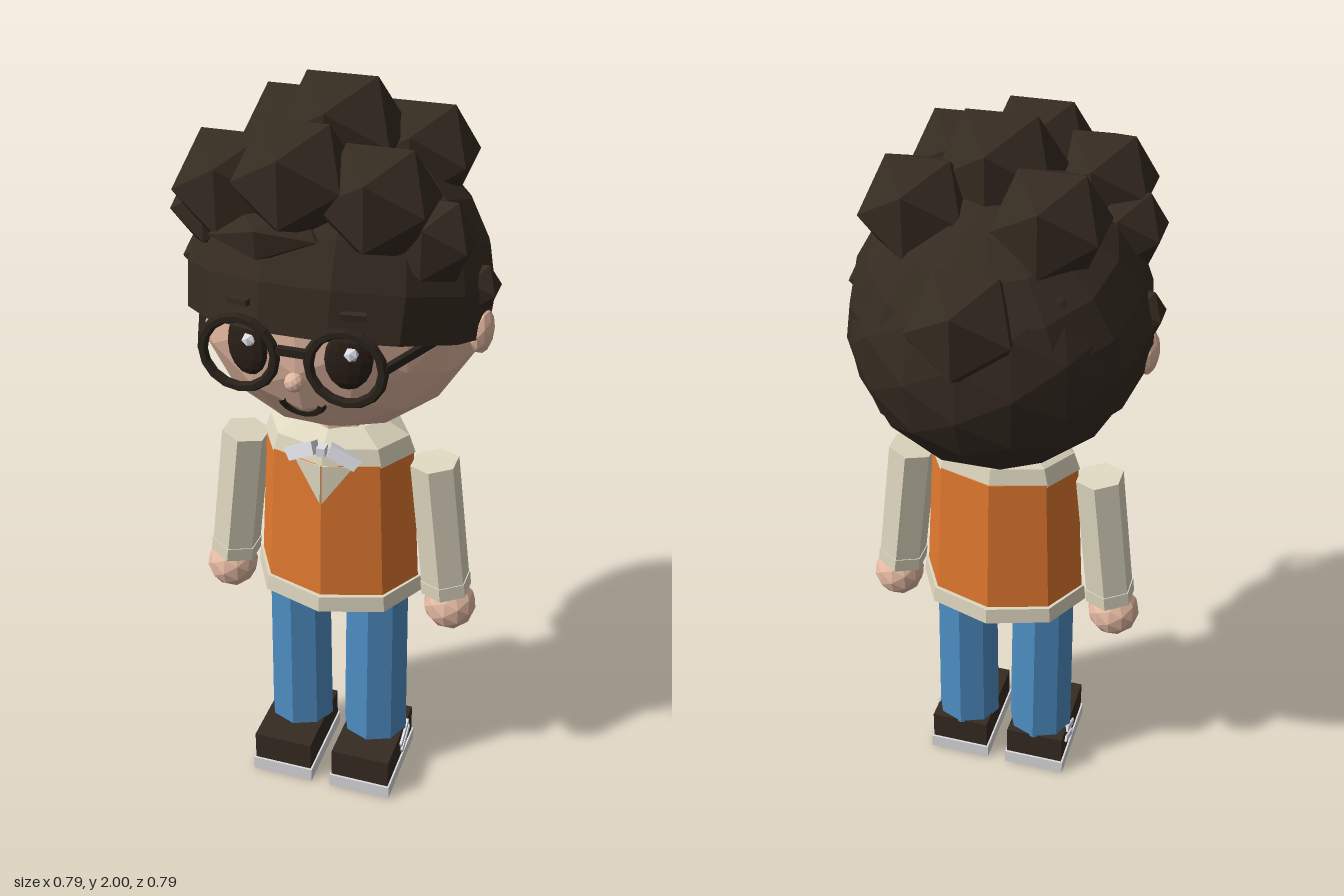
import * as THREE from 'three';

const mat = (name, color, opts = {}) => {
  const m = new THREE.MeshStandardMaterial({ color, flatShading: true, ...opts });
  m.name = name;
  return m;
};

export function createModel() {
  const model = new THREE.Group();
  model.name = 'boy';
  const skin = mat('skin', 0xe4b9a2);
  const hair = mat('hair brown', 0x352b21, { side: THREE.DoubleSide });
  const frame = mat('glasses brown', 0x2a221b);
  const eyeDark = mat('eye dark', 0x2a1f18);
  const white = mat('soft white', 0xdfe1e8);
  const orange = mat('vest orange', 0xe37a30);
  const cream = mat('shirt cream', 0xdfd8c0);
  const blue = mat('trouser blue', 0x4f90c6);
  const sole = mat('sole grey', 0xdedee0);

  const add = (name, geo, material, pos = [0, 0, 0], rot = [0, 0, 0], scale = [1, 1, 1]) => {
    const m = new THREE.Mesh(geo, material);
    m.name = name;
    m.position.set(...pos);
    m.rotation.set(...rot);
    m.scale.set(...scale);
    model.add(m);
    return m;
  };
  const box = (w, h, d) => new THREE.BoxGeometry(w, h, d);
  const ico = (r, detail = 0) => new THREE.IcosahedronGeometry(r, detail);

  // Low-poly tapered tube standing between two heights
  const tube = (y0, y1, r0, r1, sides = 8) =>
    new THREE.CylinderGeometry(r1, r0, y1 - y0, sides).translate(0, (y0 + y1) / 2, 0);
  const polygon = (points, s) => new THREE.Shape(points.map(([x, y]) => new THREE.Vector2(s * x, y)));
  const plate = (shape, depth) => new THREE.ExtrudeGeometry(shape, { depth, bevelEnabled: false });

  // Square bar between two points
  const beam = (name, a, b, w, h, material) => {
    const va = new THREE.Vector3(...a), vb = new THREE.Vector3(...b);
    const m = add(name, box(w, h, va.distanceTo(vb)), material);
    m.position.copy(va).add(vb).multiplyScalar(0.5);
    m.lookAt(vb);
  };

  // Head and neck
  const headY = 1.476;
  add('head', ico(1, 2), skin, [0, headY, 0], [0, 0, 0], [0.367, 0.354, 0.367]);
  add('neck', tube(1.09, 1.18, 0.1, 0.09), skin, [0, 0, 0.03]);
  add('nose', ico(0.024, 1), skin, [0, 1.39, 0.365]);

  // Hair: tilted cap over the top, faceted ball emerging behind the face
  add('hairCap', new THREE.SphereGeometry(0.381, 14, 6, 0, Math.PI * 2, 0, 1.79), hair,
    [0, 1.482, 0.01], [-0.31, 0, 0]);
  add('hairBack', ico(1, 2), hair, [0, headY, -0.022], [0, 0, 0], [0.364, 0.352, 0.362]);

  // Curls: x, y, z, radius
  [
    [0, 1.863, 0.007, 0.162],
    [-0.15, 1.8, -0.113, 0.147],
    [0.165, 1.795, -0.1, 0.145],
    [-0.197, 1.78, 0.19, 0.147],
    [-0.035, 1.83, 0.23, 0.149],
    [0.152, 1.79, 0.212, 0.145],
    [0.26, 1.69, 0.16, 0.112],
    [-0.27, 1.7, 0.13, 0.112],
    [0, 1.61, -0.275, 0.147],
    [0.334, 1.53, 0.035, 0.07],
    [-0.334, 1.53, 0.035, 0.07],
  ].forEach(([x, y, z, r], i) => add('curl' + (i + 1), ico(r), hair, [x, y, z]));
  add('fringeCurl', ico(0.15), hair, [-0.09, 1.71, 0.243], [0, 0, 0.05], [1, 0.42, 0.9]);

  // Smile
  add('mouth', new THREE.TorusGeometry(0.05, 0.011, 5, 10, Math.PI), frame,
    [0, 1.318, 0.319], [0.5, 0, Math.PI]);

  // Glasses bridge
  add('bridge', box(0.07, 0.018, 0.018), frame, [0, 1.475, 0.38]);

  for (const s of [-1, 1]) {
    const side = s > 0 ? 'left' : 'right';

    // Face
    add(side + 'Ear', ico(1, 1), skin, [s * 0.36, 1.425, 0.04], [0, 0, 0], [0.03, 0.06, 0.052]);
    add(side + 'Eye', new THREE.SphereGeometry(1, 12, 8), eyeDark,
      [s * 0.122, 1.455, 0.338], [0, s * 0.25, 0], [0.056, 0.077, 0.022]);
    add(side + 'EyeGlint', ico(0.018), white, [s * 0.122 + 0.012, 1.478, 0.357]);
    add(side + 'Brow', box(0.06, 0.014, 0.02), hair, [s * 0.135, 1.57, 0.35], [0, s * 0.35, s * -0.1]);

    // Glasses
    add(side + 'Rim', new THREE.TorusGeometry(0.088, 0.013, 6, 16), frame, [s * 0.128, 1.454, 0.38]);
    beam(side + 'Temple', [s * 0.218, 1.465, 0.383], [s * 0.29, 1.465, 0.2], 0.014, 0.02, frame);

    // Arm with cuff and hand
    const arm = new THREE.Group();
    arm.name = side + 'Arm';
    arm.position.set(s * 0.258, 1.03, 0.04);
    arm.rotation.z = s * 0.115;
    const sleeve = new THREE.Mesh(tube(-0.35, 0.005, 0.066, 0.065, 6), cream);
    sleeve.name = side + 'Sleeve';
    const cuff = new THREE.Mesh(tube(-0.39, -0.35, 0.069, 0.069, 6), cream);
    cuff.name = side + 'Cuff';
    arm.add(sleeve, cuff);
    model.add(arm);
    add(side + 'Hand', ico(0.071, 1), skin, [s * 0.314, 0.597, 0.04]);

    // Leg
    add(side + 'Leg', tube(0.12, 0.64, 0.092, 0.087), blue, [s * 0.111, 0, 0.045], [0, 0, 0], [1, 1, 0.97]);

    // Shoe with sole and two side strips
    add(side + 'Shoe', box(0.166, 0.087, 0.25), hair, [s * 0.115, 0.082, 0.085]);
    add(side + 'Sole', box(0.176, 0.04, 0.262), sole, [s * 0.115, 0.02, 0.085]);
    for (const j of [0, 1])
      add(side + 'ShoeStrip' + (j + 1), box(0.009, 0.018, 0.082), white,
        [s * 0.2, 0.075 + j * 0.03, 0.04 + j * 0.012], [0.45, 0, 0]);

    // Bow wing
    add(side + 'BowWing', plate(polygon([[0.01, -0.008], [0.08, -0.04], [0.1, -0.012], [0.02, 0.024]], s), 0.03),
      white, [0, 1.092, 0.165], [-0.25, s * 0.25, 0]);

    // Half of the pointed shirt front, folded along the vest's middle edge
    add(side + 'ShirtFront', plate(polygon([[0, 0], [0, -0.11], [0.08, 0]], s), 0.008), cream,
      [0, 1.055, 0.178], [-0.045, s * 0.3, 0]);
  }
  add('bowKnot', box(0.022, 0.024, 0.03), white, [0, 1.098, 0.175]);

  // Shirt, vest and hem: oval eight-sided tubes
  const torso = (name, y0, y1, r0, r1, depth, material) =>
    add(name, tube(y0, y1, r0, r1), material, [0, 0, 0.036], [0, 0, 0], [1, 1, depth]);
  torso('shirtYoke', 1.05, 1.098, 0.205, 0.188, 0.71, cream);
  torso('shirtNeck', 1.098, 1.135, 0.188, 0.12, 0.71, cream);
  torso('vest', 0.66, 1.055, 0.222, 0.2, 0.74, orange);
  torso('hem', 0.62, 0.665, 0.234, 0.229, 0.77, cream);

  return model;
}
